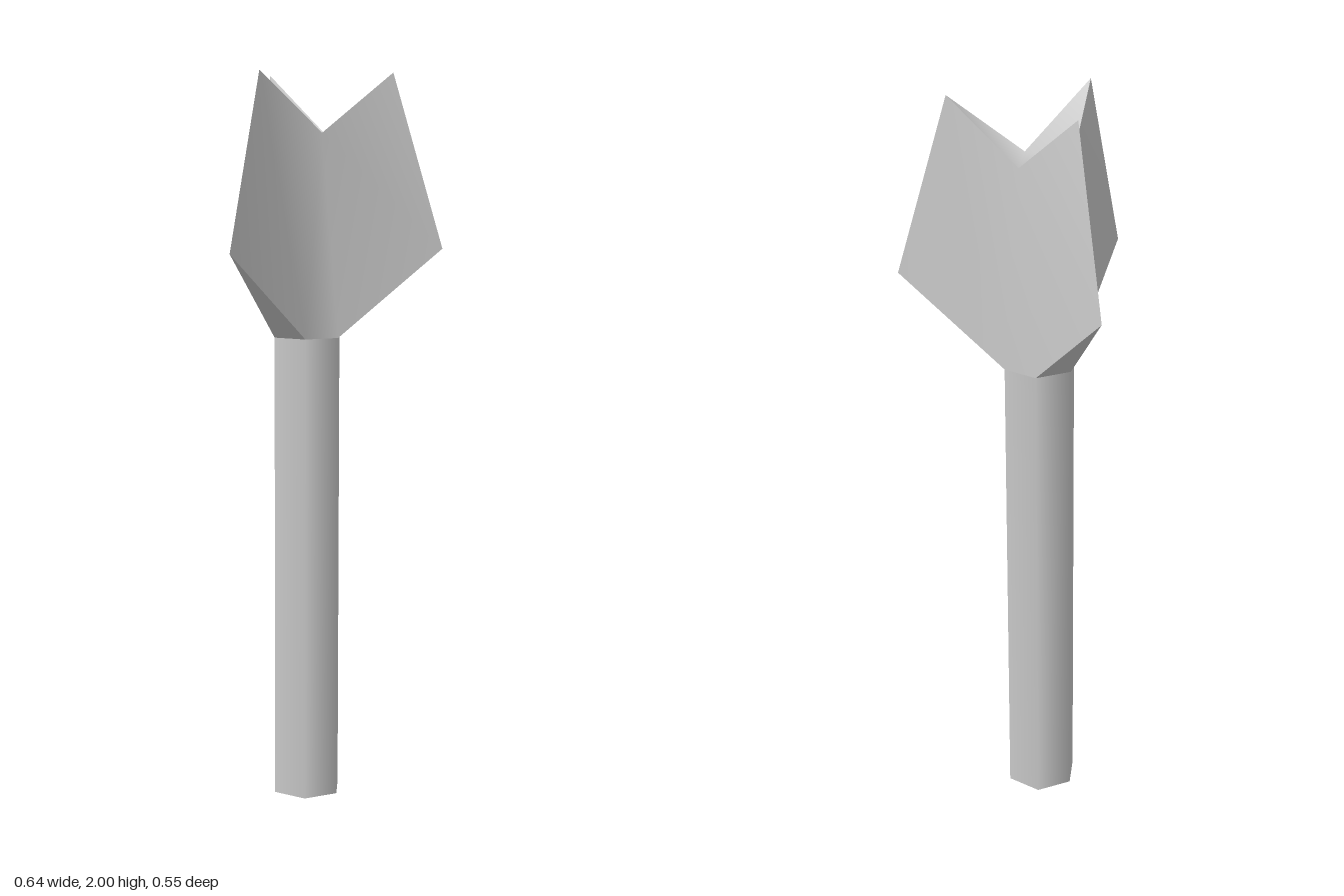
import * as THREE from 'three';

const AXIS_Z = -0.09, STEM_R = 0.1, NECK_Y = 1.29;

// Point at a given angle (from +z towards +x), radius and height around the flower axis
function polar(deg, r, y) {
  const a = THREE.MathUtils.degToRad(deg);
  return [Math.sin(a) * r, y, Math.cos(a) * r];
}

// Smooth-shaded surface from corner points and triangles
function surface(name, points, faces, material) {
  const g = new THREE.BufferGeometry();
  g.setAttribute('position', new THREE.Float32BufferAttribute(points.flat(), 3));
  g.setIndex(faces.flat());
  g.computeVertexNormals();
  const mesh = new THREE.Mesh(g, material);
  mesh.name = name;
  return mesh;
}

export function createModel() {
  const material = new THREE.MeshStandardMaterial({ color: 0xcccccc });
  const model = new THREE.Group();
  model.name = 'flower';

  // Six-sided stem with rounded shading
  const stem = new THREE.Mesh(
    new THREE.CylinderGeometry(STEM_R, STEM_R, NECK_Y, 6, 1, false, Math.PI / 6), material);
  stem.position.set(0, NECK_Y / 2, AXIS_Z);
  stem.name = 'stem';
  model.add(stem);

  // Blossom: three petals, each with a tip, a wide shoulder and a wedge below
  const blossom = new THREE.Group();
  blossom.name = 'blossom';
  blossom.position.z = AXIS_Z;
  model.add(blossom);

  const tip = a => polar(a, 0.23, 2);
  const shoulder = a => polar(a, 0.367, 1.53);
  const notch = a => polar(a, 0.085, 1.84);
  const neck = a => polar(a, STEM_R, NECK_Y);

  for (let i = 0; i < 3; i++) {
    const a = i * 120, b = a + 120;
    // Outer face running from one petal to the next
    blossom.add(surface('petalFace',
      [tip(a), shoulder(a), neck(a + 30), neck(b - 30), shoulder(b), tip(b), notch(a + 60)],
      [[0, 1, 2], [0, 2, 6], [2, 3, 6], [3, 4, 6], [4, 5, 6]], material));
    // Wedge closing the underside of the petal
    blossom.add(surface('petalUnderside',
      [neck(a - 30), neck(a + 30), shoulder(a)], [[0, 1, 2]], material));
  }

  // Inside of the blossom, rising from the notches to the three tips
  blossom.add(surface('blossomInside',
    [tip(0), notch(60), tip(120), notch(180), tip(240), notch(300)],
    [[0, 1, 5], [2, 3, 1], [4, 5, 3], [1, 3, 5]], material));

  return model;
}
